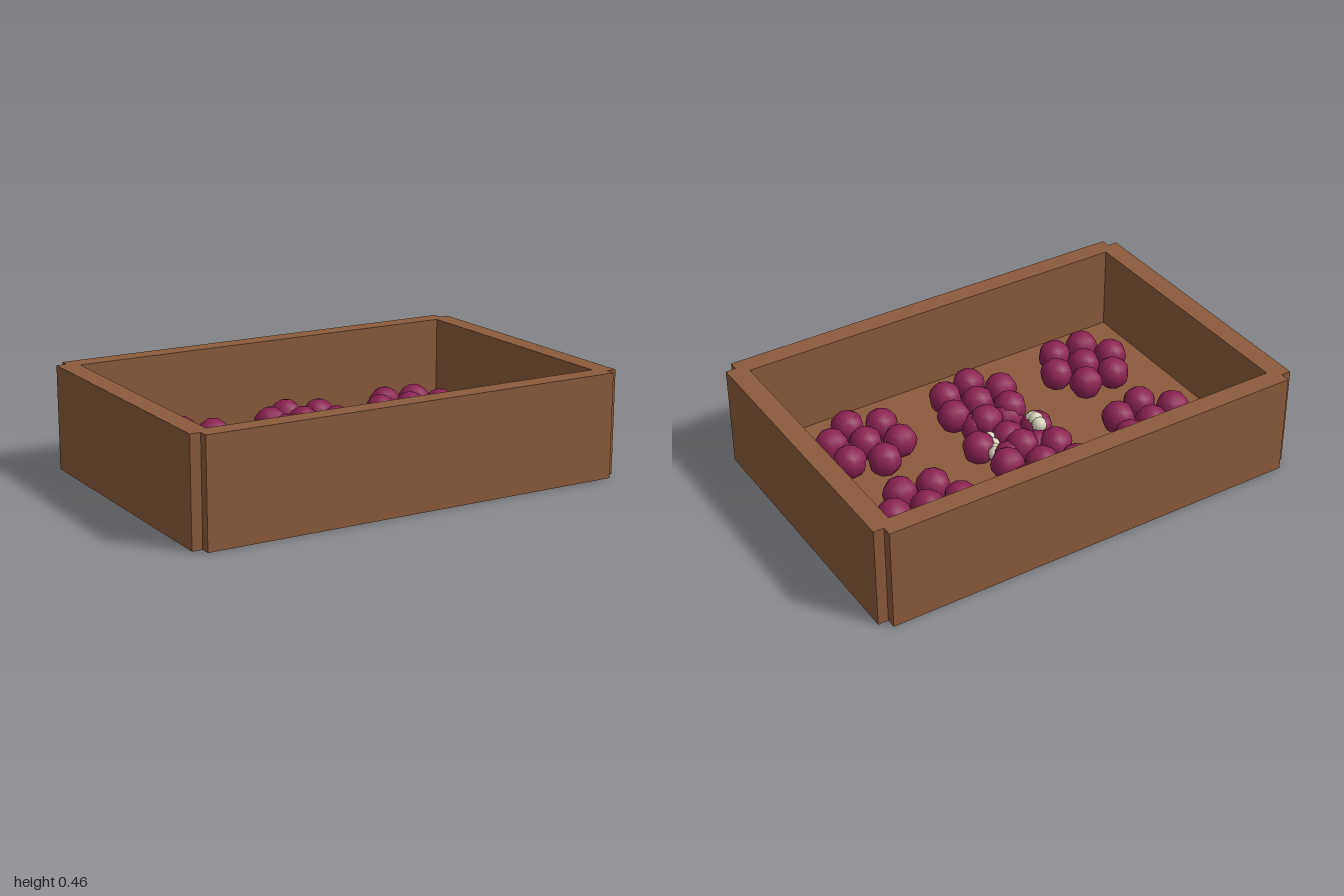
import * as THREE from 'three';

export function createModel() {
  const model = new THREE.Group();
  model.name = 'berryCrate';

  const material = (name, color) => {
    const m = new THREE.MeshStandardMaterial({ color });
    m.name = name;
    return m;
  };
  const wood = material('wood', 0x8b5a3c);
  const berrySkin = material('berrySkin', 0x8b2252);
  const cream = material('cream', 0xd8d4bc);

  const add = (parent, name, geometry, mat, x, y, z) => {
    const mesh = new THREE.Mesh(geometry, mat);
    mesh.name = name;
    mesh.position.set(x, y, z);
    parent.add(mesh);
    return mesh;
  };

  // Open crate: floor and four walls whose ends leave small corner notches
  const height = 0.46;
  const crate = new THREE.Group();
  crate.name = 'crate';
  model.add(crate);
  add(crate, 'floor', new THREE.BoxGeometry(1.88, 0.075, 1.24), wood, 0, 0.0375, 0);
  const longWall = new THREE.BoxGeometry(1.91, height, 0.088);
  const shortWall = new THREE.BoxGeometry(0.09, height, 1.27);
  add(crate, 'frontWall', longWall, wood, 0, height / 2, 0.634);
  add(crate, 'backWall', longWall, wood, 0, height / 2, -0.634);
  add(crate, 'leftWall', shortWall, wood, 0.955, height / 2, 0);
  add(crate, 'rightWall', shortWall, wood, -0.955, height / 2, 0);

  // Clusters: one berry ringed by six, each cluster turned a little (degrees)
  const berry = new THREE.SphereGeometry(0.074, 8, 8);
  const clusters = [
    [-0.565, 0.15, -0.268, -16],
    [0, 0.155, -0.268, 27],
    [0.555, 0.15, -0.265, 9],
    [-0.565, 0.15, 0.255, 0],
    [0, 0.155, 0.25, -14],
    [0.555, 0.15, 0.255, 26],
    [0, 0.12, 0, 0],
  ];
  for (const [x, y, z, turn] of clusters) {
    const cluster = new THREE.Group();
    cluster.name = 'berryCluster';
    cluster.position.set(x, y, z);
    model.add(cluster);
    add(cluster, 'centreBerry', berry, berrySkin, 0, 0, 0);
    for (let i = 0; i < 6; i++) {
      const a = THREE.MathUtils.degToRad(turn + i * 60);
      const ringBerry = add(cluster, 'ringBerry', berry, berrySkin,
        Math.cos(a) * 0.146, 0, Math.sin(a) * 0.146);
      ringBerry.rotation.y = -a;
    }
  }

  // Pale grubs made of small beads among the middle berries
  const bead = new THREE.SphereGeometry(0.034, 8, 6);
  const grubs = [
    [[-0.13, 0.165, -0.045], [-0.132, 0.172, -0.015], [-0.13, 0.165, 0.005]],
    [[0.115, 0.13, -0.085], [0.1, 0.12, -0.055], [0.085, 0.12, -0.015], [0.078, 0.125, 0.022]],
  ];
  for (const beads of grubs) {
    const grub = new THREE.Group();
    grub.name = 'grub';
    model.add(grub);
    for (const [x, y, z] of beads) add(grub, 'grubBead', bead, cream, x, y, z);
  }

  return model;
}
